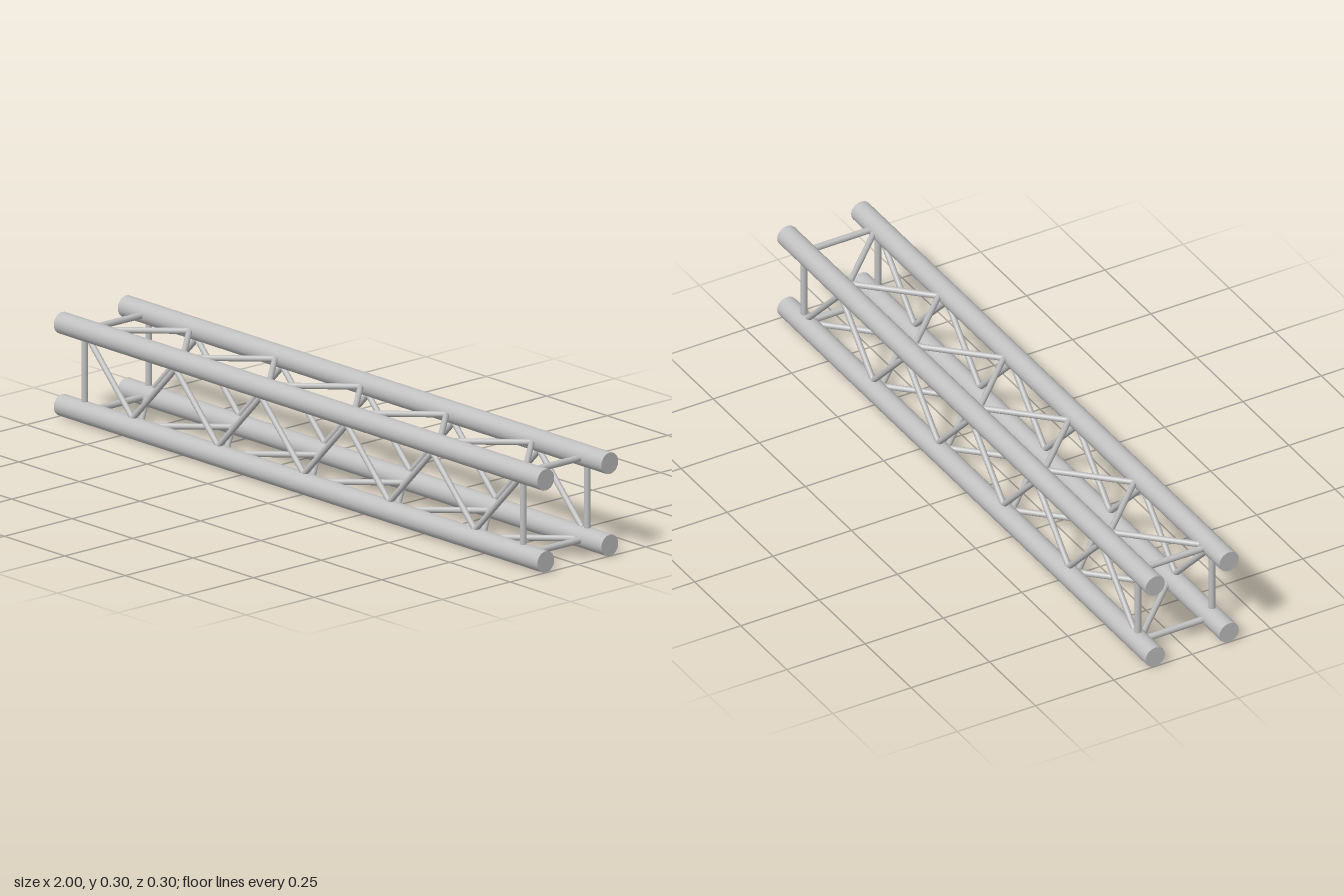
import * as THREE from 'three';

const HALF = 0.118;          // half distance between chord centres
const CHORD_R = 0.031;
const MID_Y = HALF + CHORD_R;
const POST_X = 0.907;
const STEP = 0.177;          // spacing of lacing nodes along the beam
const BAYS = 10;
const NODE = 0.091;          // node offset, just inside the chord surface

export function createModel() {
  const metal = new THREE.MeshStandardMaterial({ color: 0xc0c0c0 });
  metal.name = 'brushed aluminium';
  const model = new THREE.Group();
  model.name = 'boxTruss';

  // Round bar between two points
  function bar(name, a, b, radius, sides, parent) {
    const dir = b.clone().sub(a);
    const mesh = new THREE.Mesh(new THREE.CylinderGeometry(radius, radius, dir.length(), sides), metal);
    mesh.name = name;
    mesh.position.copy(a).add(b).multiplyScalar(0.5);
    mesh.quaternion.setFromUnitVectors(new THREE.Vector3(0, 1, 0), dir.normalize());
    parent.add(mesh);
  }

  // Four long chords
  for (const y of [-1, 1]) for (const z of [-1, 1]) {
    const at = (x) => new THREE.Vector3(x, MID_Y + y * HALF, z * HALF);
    bar('chord', at(-1), at(1), CHORD_R, 20, model);
  }

  // Each side: its plane, and the sign of the chord where the lacing starts
  const sides = [
    { name: 'frontLacing', point: (x, s) => new THREE.Vector3(x, MID_Y + s, HALF), start: 1 },
    { name: 'backLacing', point: (x, s) => new THREE.Vector3(x, MID_Y + s, -HALF), start: -1 },
    { name: 'topLacing', point: (x, s) => new THREE.Vector3(x, MID_Y + HALF, s), start: 1 },
    { name: 'bottomLacing', point: (x, s) => new THREE.Vector3(x, MID_Y - HALF, s), start: -1 },
  ];

  for (const { name, point, start } of sides) {
    const group = new THREE.Group();
    group.name = name;
    // Straight end posts
    for (const x of [-POST_X, POST_X]) {
      bar('endPost', point(x, -HALF), point(x, HALF), 0.0095, 12, group);
    }
    // Zigzag braces
    const node = (i) => point((i - BAYS / 2) * STEP, start * (i % 2 ? -NODE : NODE));
    for (let i = 0; i < BAYS; i++) {
      bar('brace', node(i), node(i + 1), 0.0085, 12, group);
    }
    model.add(group);
  }
  return model;
}
